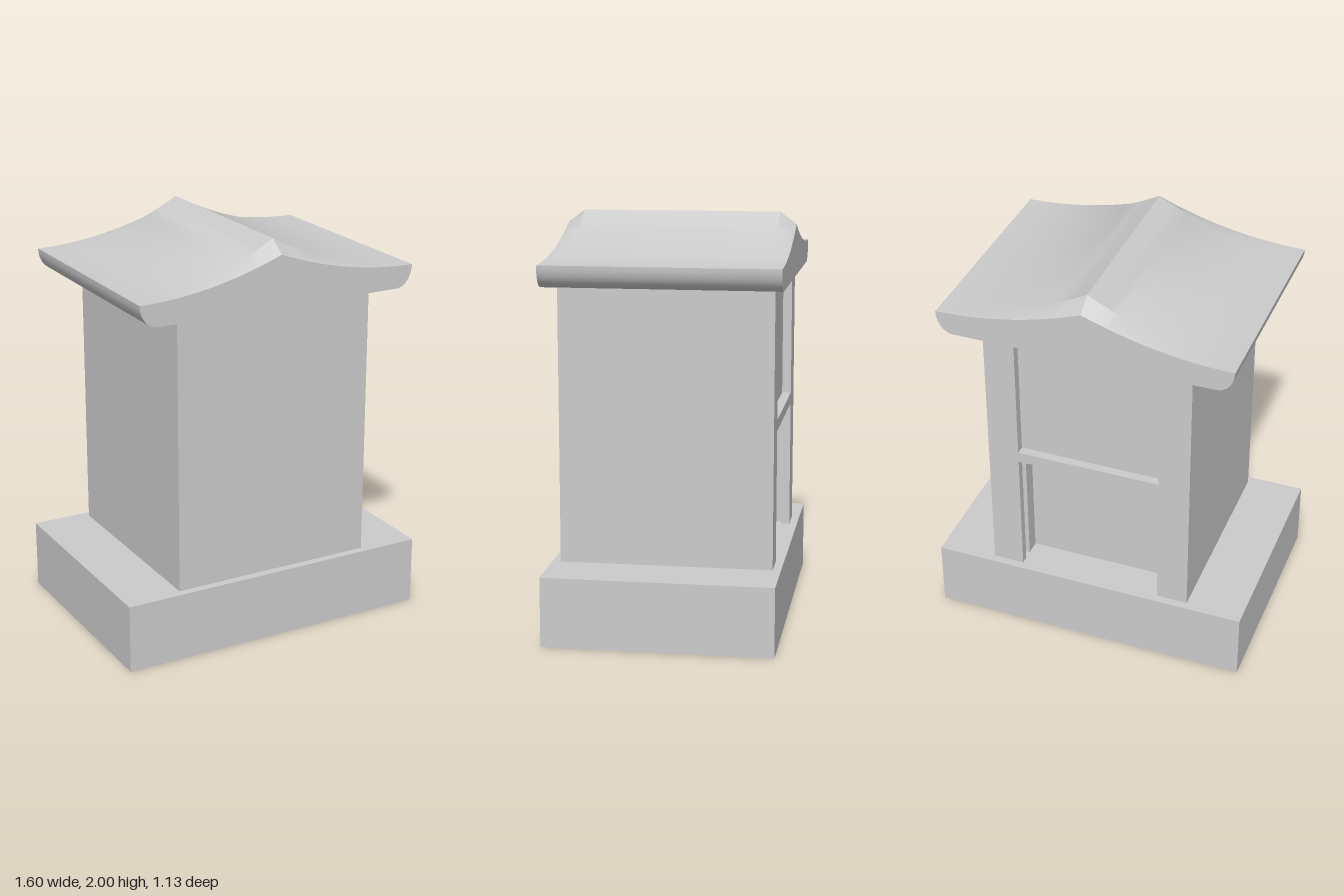
import * as THREE from 'three';
import { toCreasedNormals } from 'three/addons/utils/BufferGeometryUtils.js';

const grey = new THREE.MeshStandardMaterial({ color: 0xcccccc });

function addMesh(group, name, geometry, y = 0) {
  const mesh = new THREE.Mesh(geometry, grey);
  mesh.name = name;
  mesh.position.y = y;
  group.add(mesh);
}

// Floor plan (half outline mirrored in x) raised by a height; plan +y is the back
function raisePlan(half, height) {
  const outline = [...half, ...half.map(([x, y]) => [-x, y]).reverse()];
  const shape = new THREE.Shape(outline.map(([x, y]) => new THREE.Vector2(x, y)));
  return new THREE.ExtrudeGeometry(shape, { depth: height, bevelEnabled: false }).rotateX(-Math.PI / 2);
}

// Roof outline with rounded eaves and concave slopes, counter-clockwise
function roofOutline(rise) {
  const right = [];
  for (let i = 0; i <= 10; i++) {
    const a = (i / 10) * Math.PI / 2;
    right.push([0.64 + 0.085 * Math.sin(a), 1.8 - 0.11 * Math.cos(a)]);
  }
  for (let i = 1; i <= 20; i++) {
    const t = i / 20;
    right.push([0.725 * (1 - t), 1.8 + rise * t * t]);
  }
  const left = right.slice(0, -1).reverse().map(([x, y]) => [-x, y]);
  return [...right, ...left].map(([x, y]) => new THREE.Vector2(x, y));
}

// Roof lofted through sections along z, with the ridge dropping at both ends
function roofGeometry() {
  const sections = [[-0.565, 0.14], [-0.485, 0.2], [0.485, 0.2], [0.565, 0.14]];
  const outlines = sections.map(([, rise]) => roofOutline(rise));
  const n = outlines[0].length;
  const positions = [];
  const index = [];
  outlines.forEach((outline, s) => outline.forEach((p) => positions.push(p.x, p.y, sections[s][0])));
  for (let s = 0; s < 3; s++) {
    for (let i = 0; i < n; i++) {
      const a = s * n + i;
      const b = s * n + (i + 1) % n;
      index.push(a, b, b + n, a, b + n, a + n);
    }
  }
  for (const [a, b, c] of THREE.ShapeUtils.triangulateShape(outlines[0], [])) {
    index.push(a, c, b, a + 3 * n, b + 3 * n, c + 3 * n);
  }
  const geometry = new THREE.BufferGeometry();
  geometry.setAttribute('position', new THREE.Float32BufferAttribute(positions, 3));
  geometry.setIndex(index);
  return toCreasedNormals(geometry, Math.PI / 7);
}

export function createModel() {
  const model = new THREE.Group();
  model.name = 'stoneShrine';

  addMesh(model, 'base', new THREE.BoxGeometry(1.6, 0.34, 1.11), 0.17);

  // Lower body: deep niche at the back, a slot running up each jamb
  const w = 0.515;
  addMesh(model, 'lowerBody', raisePlan([
    [w, -w], [w, w], [0.36, w], [0.36, w - 0.04], [0.4, w - 0.04],
    [0.4, w - 0.085], [0.36, w - 0.085], [0.36, w - 0.16],
  ], 0.645), 0.34);

  // Crossbar level, then the shallow upper panel
  addMesh(model, 'crossbar', raisePlan([[w, -w], [w, w]], 0.055), 0.985);
  addMesh(model, 'upperBody', raisePlan([
    [w, -w], [w, w], [0.36, w], [0.36, w - 0.045],
  ], 0.65), 1.04);

  addMesh(model, 'roof', roofGeometry());
  return model;
}
